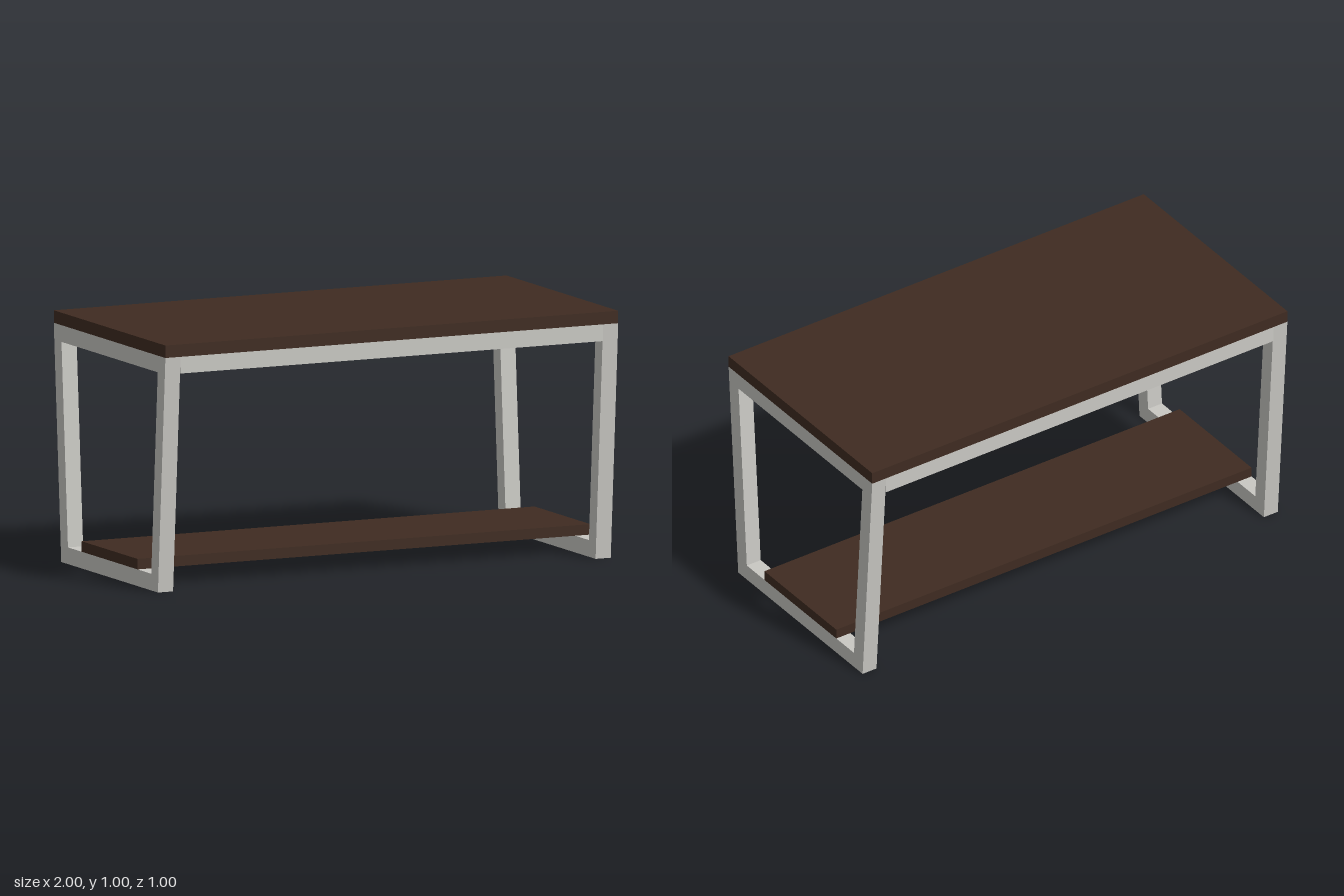
import * as THREE from 'three';

const T = 0.067;        // steel bar thickness
const FRAME_TOP = 0.95; // underside of the table top

// Closed, downward-tapering side frame, drawn in (z, y) and extruded along x
function sideFrameGeometry() {
  const shape = new THREE.Shape([
    [-0.433, 0], [0.433, 0], [0.5, FRAME_TOP], [-0.5, FRAME_TOP],
  ].map(([z, y]) => new THREE.Vector2(z, y)));
  shape.holes.push(new THREE.Path([
    [-0.373, T], [-0.431, FRAME_TOP - T], [0.431, FRAME_TOP - T], [0.373, T],
  ].map(([z, y]) => new THREE.Vector2(z, y))));
  const geometry = new THREE.ExtrudeGeometry(shape, { depth: T, bevelEnabled: false });
  return geometry.translate(0, 0, -T / 2).rotateY(-Math.PI / 2);
}

export function createModel() {
  const model = new THREE.Group();
  model.name = 'table';

  const wood = new THREE.MeshStandardMaterial({ color: 0x3f2b21 });
  wood.name = 'dark wood';
  const steel = new THREE.MeshStandardMaterial({ color: 0xc9c8c3 });
  steel.name = 'light grey steel';

  const add = (name, geometry, material, x, y, z) => {
    const mesh = new THREE.Mesh(geometry, material);
    mesh.name = name;
    mesh.position.set(x, y, z);
    model.add(mesh);
  };

  // Wooden boards
  add('tableTop', new THREE.BoxGeometry(2, 0.05, 1), wood, 0, 0.975, 0);
  add('lowerShelf', new THREE.BoxGeometry(2, 0.042, 0.5), wood, 0, T + 0.021, 0);

  // Side frames at both ends
  const frame = sideFrameGeometry();
  add('leftSideFrame', frame, steel, 1 - T / 2, 0, 0);
  add('rightSideFrame', frame, steel, -1 + T / 2, 0, 0);

  // Long rails joining the frames under the top
  const rail = new THREE.BoxGeometry(2 - 2 * T, T, T);
  add('frontRail', rail, steel, 0, FRAME_TOP - T / 2, 0.5 - T / 2);
  add('backRail', rail, steel, 0, FRAME_TOP - T / 2, -0.5 + T / 2);

  return model;
}
